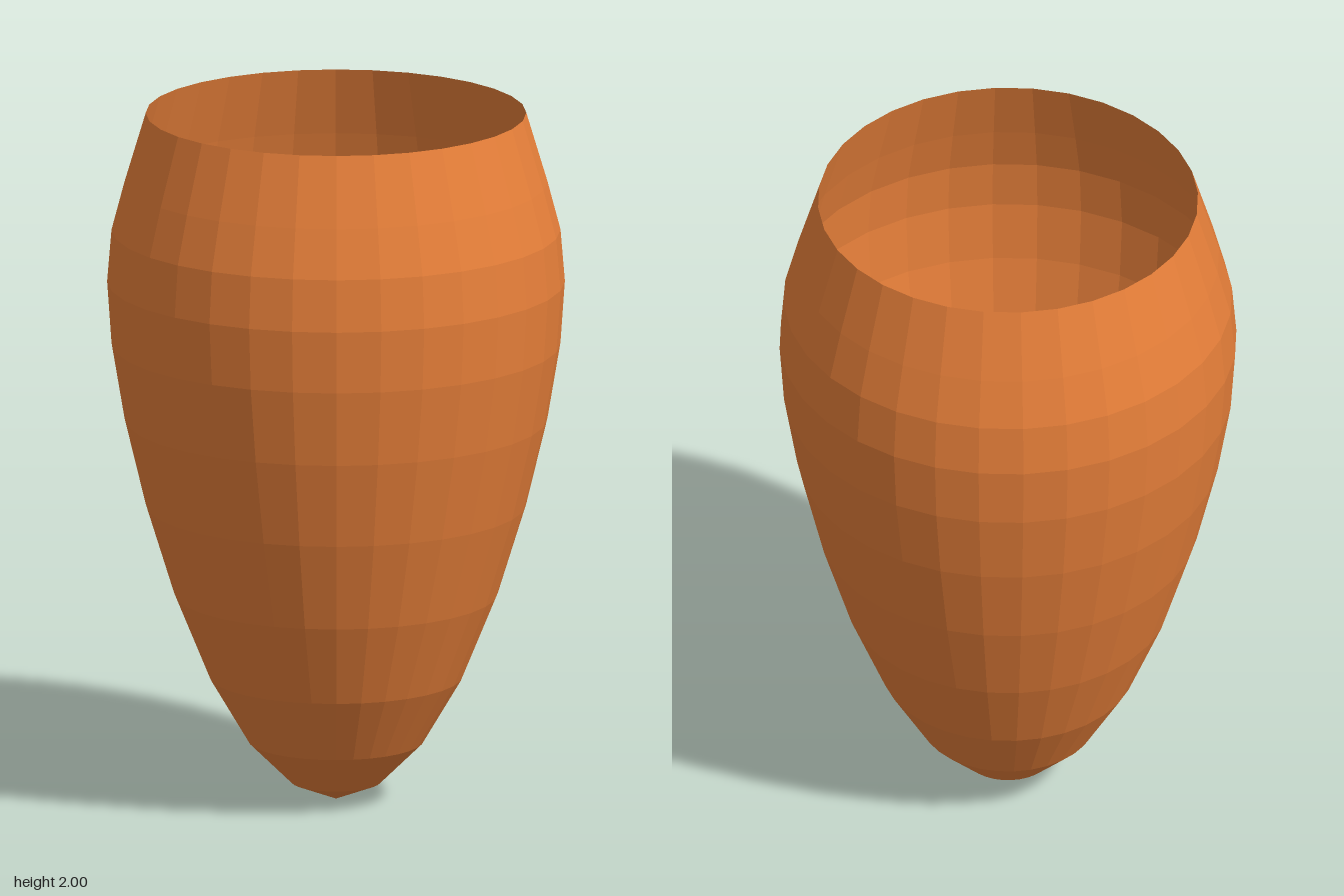
import * as THREE from 'three';

export function createModel() {
  const group = new THREE.Group();
  const sides = 32;
  const maxRadius = 0.65;

  // Ring heights from the pointed base to the open rim; radii follow a sine bulge
  const heights = [0, 0.05, 0.17, 0.36, 0.6, 0.86, 1.11, 1.33, 1.51, 1.66, 1.8, 2];
  const profile = heights.map((y, i) =>
    new THREE.Vector2(maxRadius * Math.sin((i * Math.PI) / 16), y));

  // Thin open shell, visible inside and out
  const cup = new THREE.Mesh(
    new THREE.LatheGeometry(profile, sides),
    new THREE.MeshStandardMaterial({ color: 0xe8803a, flatShading: true, side: THREE.DoubleSide })
  );
  cup.name = 'cupShell';
  group.add(cup);
  return group;
}
